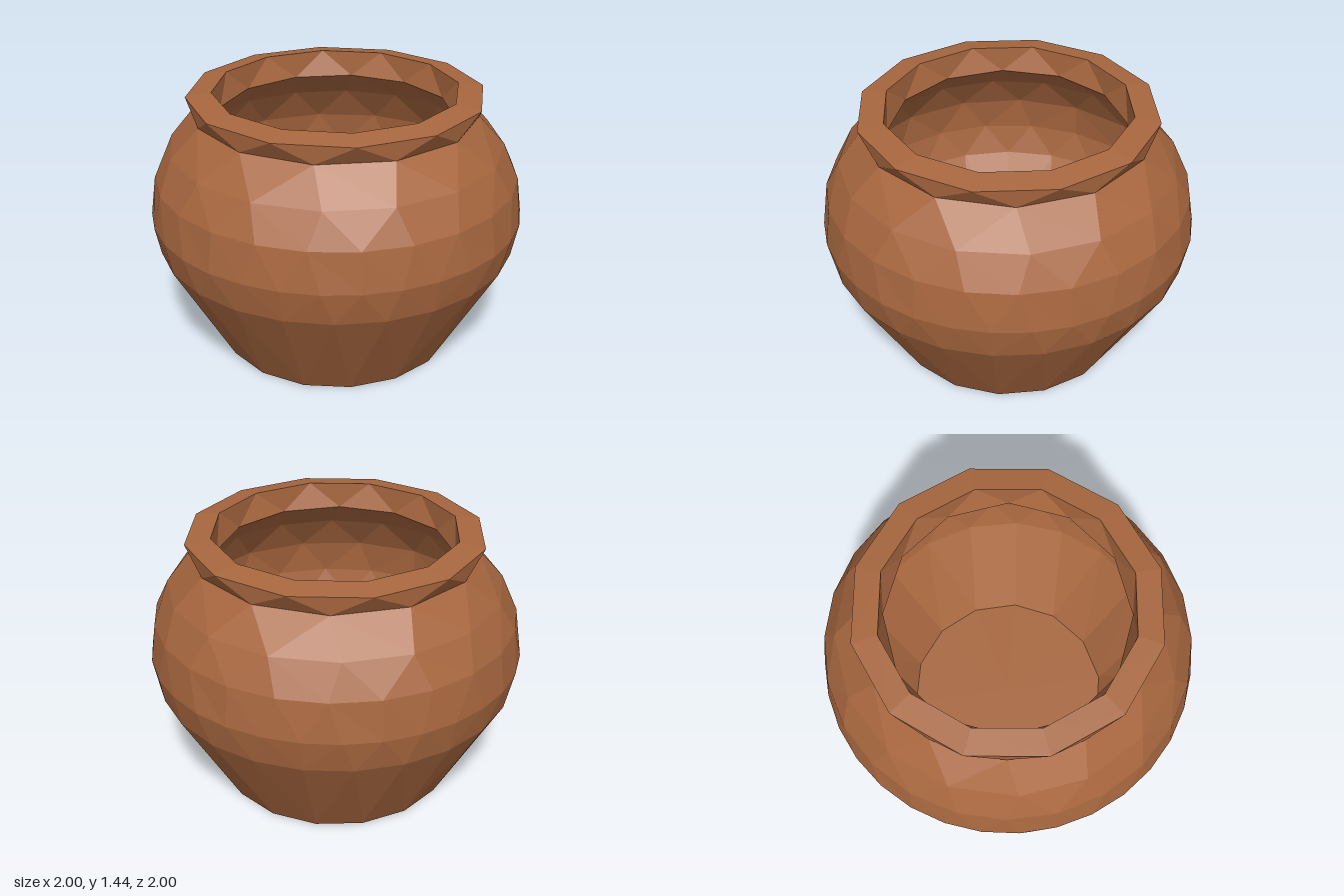
import * as THREE from 'three';

// A ring is { r, y, n sides, p phase in steps }
const ring = (r, y, n, p = 0) => ({ r, y, n, p });
const angle = (c, k) => ((k + c.p) / c.n) * Math.PI * 2;
const point = (c, k) => {
  const a = angle(c, k % c.n);
  return [c.r * Math.sin(a), c.y, c.r * Math.cos(a)];
};

// Joins two rings with triangles, even when their side counts differ
function stitch(out, a, b) {
  let i = 0, j = 0;
  while (i < a.n || j < b.n) {
    const stepA = j >= b.n || (i < a.n && angle(a, i + 1) <= angle(b, j + 1));
    if (stepA) {
      out.push(...point(a, i), ...point(a, i + 1), ...point(b, j));
      i++;
    } else {
      out.push(...point(a, i), ...point(b, j + 1), ...point(b, j));
      j++;
    }
  }
}

// Flat disc filling a ring, facing up or down
function disc(out, c, up) {
  for (let k = 0; k < c.n; k++) {
    const p = point(c, k), q = point(c, k + 1);
    out.push(0, c.y, 0, ...(up ? p : q), ...(up ? q : p));
  }
}

export function createModel() {
  const group = new THREE.Group();
  group.name = 'clayPot';
  const clay = new THREE.MeshStandardMaterial({ color: 0xa8673f, flatShading: true });
  clay.name = 'terracotta';

  const add = (name, positions) => {
    const geometry = new THREE.BufferGeometry();
    geometry.setAttribute('position', new THREE.Float32BufferAttribute(positions, 3));
    geometry.computeVertexNormals();
    const mesh = new THREE.Mesh(geometry, clay);
    mesh.name = name;
    group.add(mesh);
  };
  const surface = (name, rings) => {
    const out = [];
    for (let k = 0; k + 1 < rings.length; k++) stitch(out, rings[k], rings[k + 1]);
    add(name, out);
  };

  // Shared rings: foot, neck, lip and floor
  const foot = ring(0.64, 0, 16);
  const neck = ring(0.75, 1.32, 12);
  const lipOuter = ring(0.785, 1.42, 12, 0.5);
  const lipInner = ring(0.65, 1.44, 12, 0.5);
  const throat = ring(0.625, 1.3, 12);
  const floor = ring(0.56, 0.09, 14);

  // Outer wall, from foot to neck
  surface('body', [
    foot,
    ring(0.965, 0.59, 24, 0.5),
    ring(1, 0.77, 32),
    ring(0.97, 0.98, 24),
    ring(0.89, 1.15, 16, 0.5),
    neck,
  ]);

  // Flared lip with a gently sloping top
  surface('rim', [neck, lipOuter, lipInner, throat]);

  // Hollow inside, from throat down to the floor
  surface('innerWall', [
    throat,
    ring(0.78, 1.15, 16, 0.5),
    ring(0.89, 0.96, 16),
    ring(0.91, 0.77, 20),
    ring(0.87, 0.6, 20, 0.5),
    floor,
  ]);

  const base = [];
  disc(base, foot, false);
  add('base', base);
  const inside = [];
  disc(inside, floor, true);
  add('innerFloor', inside);

  return group;
}
